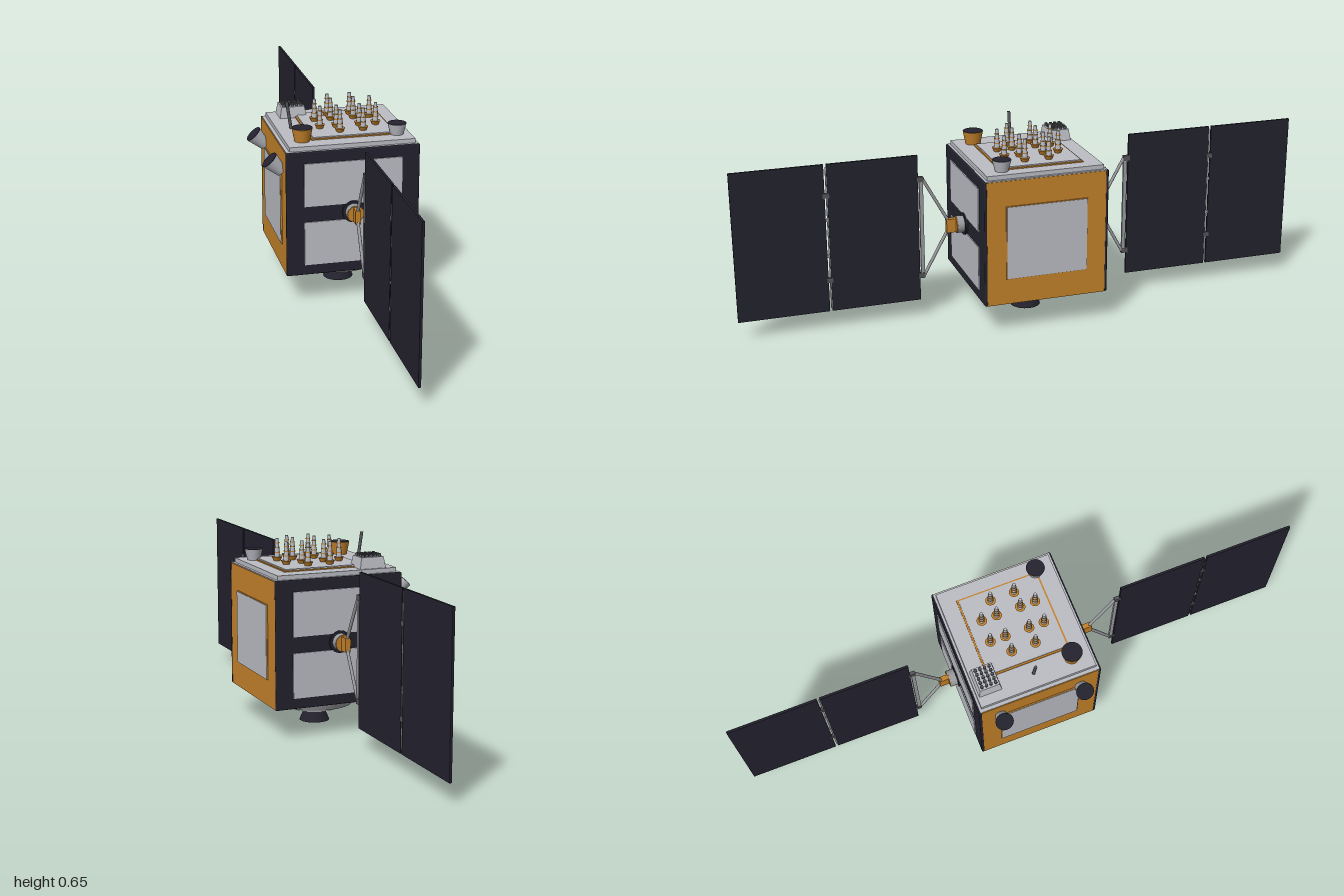
import * as THREE from 'three';
import { RoundedBoxGeometry } from 'three/addons/geometries/RoundedBoxGeometry.js';

const mat = (name, color, side = THREE.FrontSide) => {
  const m = new THREE.MeshStandardMaterial({ color, side });
  m.name = name;
  return m;
};

export function createModel() {
  const gold = mat('gold foil', 0xc4822a);
  const navy = mat('dark navy', 0x23222e, THREE.DoubleSide);
  const light = mat('light grey', 0xbbbdc4, THREE.DoubleSide);
  const grey = mat('mid grey', 0x9a9b9f, THREE.DoubleSide);
  const dark = mat('charcoal', 0x55565b);

  const model = new THREE.Group();
  model.name = 'satellite';
  const CX = 0.028;

  const add = (parent, name, geo, material, x = 0, y = 0, z = 0) => {
    const m = new THREE.Mesh(geo, material);
    m.name = name;
    m.position.set(x, y, z);
    parent.add(m);
    return m;
  };
  const group = (parent, name, x = 0, y = 0, z = 0) => {
    const g = new THREE.Group();
    g.name = name;
    g.position.set(x, y, z);
    parent.add(g);
    return g;
  };
  // Box given by its limits on each axis
  const box = (parent, name, material, x0, x1, y0, y1, z0, z1) =>
    add(parent, name, new THREE.BoxGeometry(x1 - x0, y1 - y0, z1 - z0), material,
      (x0 + x1) / 2, (y0 + y1) / 2, (z0 + z1) / 2);
  // Upright cone or cylinder between two heights
  const cone = (parent, name, material, rBottom, rTop, y0, y1, x = 0, z = 0, open = false, n = 32) =>
    add(parent, name, new THREE.CylinderGeometry(rTop, rBottom, y1 - y0, n, 1, open), material,
      x, (y0 + y1) / 2, z);
  // Round bar between two points
  const bar = (parent, name, material, a, b, r) => {
    const p = new THREE.Vector3(...a), q = new THREE.Vector3(...b);
    const m = add(parent, name, new THREE.CylinderGeometry(r, r, p.distanceTo(q), 10), material);
    m.position.copy(p).add(q).multiplyScalar(0.5);
    m.quaternion.setFromUnitVectors(new THREE.Vector3(0, 1, 0), q.sub(p).normalize());
    return m;
  };
  const lathe = (parent, name, material, pts) =>
    add(parent, name, new THREE.LatheGeometry(pts.map(p => new THREE.Vector2(...p)), 48), material, CX);

  // Main body, gold on the sides and below
  box(model, 'body', gold, -0.199, 0.255, 0.106, 0.537, -0.212, 0.212);
  box(model, 'bodyTop', light, -0.197, 0.253, 0.536, 0.54, -0.21, 0.21);
  box(model, 'topPlate', light, -0.185, 0.243, 0.54, 0.555, -0.203, 0.203);

  // Radiator panels on both gold sides, with a gold backing
  for (const s of [-1, 1]) {
    const x = CX + s * 0.229;
    box(model, 'sidePanelFrame', gold, x - 0.002, x + 0.002, 0.195, 0.45, -0.142, 0.142);
    const px = CX + s * 0.2315;
    box(model, 'sidePanel', light, px - 0.001, px + 0.001, 0.197, 0.448, -0.14, 0.14);
  }

  // Engine section under the body
  lathe(model, 'adapterRing', grey, [[0.15, 0.106], [0.15, 0.104], [0.133, 0.065]]);
  lathe(model, 'adapterRim', light, [[0.133, 0.065], [0.116, 0.065]]);
  lathe(model, 'adapterInside', grey, [[0.116, 0.065], [0.1, 0.09], [0.03, 0.09]]);
  cone(model, 'engineSkirt', light, 0.081, 0.06, 0.046, 0.068, CX, 0, true);
  cone(model, 'engineSkirtFloor', gold, 0.074, 0.07, 0.05, 0.054, CX);
  cone(model, 'engineNozzle', navy, 0.052, 0.03, 0, 0.052, CX, 0, true);
  cone(model, 'nozzleThroat', navy, 0.032, 0.03, 0.045, 0.05, CX);

  // Front and back share the same face plate, hub and solar wing
  for (const s of [1, -1]) {
    const side = group(model, s > 0 ? 'frontSide' : 'backSide', CX);
    side.scale.z = 1;

    const plate = add(side, 'facePlate', new RoundedBoxGeometry(0.456, 0.434, 0.01, 2, 0.004), navy, 0, 0.3225, s * 0.211);
    plate.castShadow = false;
    for (const [y0, y1] of [[0.142, 0.295], [0.35, 0.5]]) {
      box(side, 'faceRadiator', light, -0.167, 0.167, y0, y1, s * 0.217 - 0.0025, s * 0.217 + 0.0025);
    }

    // Wing drive hub
    const disc = (name, material, r, z0, z1) => {
      const m = add(side, name, new THREE.CylinderGeometry(r, r, z1 - z0, 32), material, 0, 0.322, s * (z0 + z1) / 2);
      m.rotation.x = Math.PI / 2;
    };
    disc('hubCollar', navy, 0.038, 0.212, 0.224);
    disc('hubDrum', grey, 0.029, 0.22, 0.248);
    disc('hubCap', gold, 0.028, 0.246, 0.251);
    const span = (name, material, hx, y0, y1, z0, z1) =>
      box(side, name, material, -hx, hx, y0, y1, Math.min(s * z0, s * z1), Math.max(s * z0, s * z1));
    span('hubBracket', gold, 0.009, 0.298, 0.346, 0.25, 0.283);

    // Yoke carrying the wing
    for (const v of [-1, 1]) {
      const y = 0.325 + v * 0.172;
      bar(side, 'yokeArm', grey, [0, 0.325 + v * 0.014, s * 0.275], [0, y, s * 0.362], 0.0055);
      span('yokeHinge', dark, 0.006, y - 0.009, y + 0.009, 0.36, 0.384);
      span('panelHinge', dark, 0.006, 0.325 + v * 0.149 - 0.008, 0.325 + v * 0.149 + 0.008, 0.678, 0.7);
      span('panelLink', grey, 0.003, 0.325 + v * 0.063 - 0.005, 0.325 + v * 0.063 + 0.005, 0.682, 0.696);
    }
    span('yokeBar', grey, 0.004, 0.153, 0.497, 0.361, 0.374);

    // Two solar panels
    span('innerSolarPanel', navy, 0.004, 0.065, 0.582, 0.378, 0.684);
    span('outerSolarPanel', navy, 0.004, 0.065, 0.582, 0.693, 1.0);
    span('panelSeam', grey, 0.002, 0.075, 0.572, 0.684, 0.688);
  }

  // Antenna deck with gold border
  box(model, 'deckBorder', gold, -0.097, 0.196, 0.555, 0.559, -0.147, 0.144);
  box(model, 'antennaDeck', light, -0.091, 0.19, 0.556, 0.563, -0.141, 0.138);

  // Twelve helix antennas in a cross-shaped array
  for (const [dx, dz] of [[0.04, 0.095], [0.04, 0.042], [0.097, 0.042]]) {
    for (const sx of [-1, 1]) for (const sz of [-1, 1]) {
      const a = group(model, 'antenna', 0.051 + sx * dx, 0.563, sz * dz);
      cone(a, 'antennaCup', gold, 0.011, 0.0175, 0, 0.013, 0, 0, false, 20);
      const radii = [0.0095, 0.0085, 0.0075, 0.0062];
      radii.forEach((r, i) => {
        const y = 0.013 + i * 0.016;
        cone(a, 'antennaStem', light, r, r - 0.0008, y, y + 0.016, 0, 0, false, 14);
        if (i) cone(a, 'antennaRing', gold, r + 0.0018, r + 0.0018, y - 0.0015, y + 0.0015, 0, 0, false, 14);
      });
    }
  }

  // Horn cups with dark mouths
  const horn = (name, material, x, z, r0, r1, y1) => {
    cone(model, name, material, r0, r1, 0.555, y1, x, z);
    cone(model, name + 'Mouth', navy, r1 - 0.001, r1 - 0.001, y1, y1 + 0.001, x, z);
  };
  horn('goldHorn', gold, -0.128, 0.138, 0.026, 0.035, 0.6);
  horn('greyHorn', light, 0.197, 0.138, 0.022, 0.032, 0.593);

  // Tapered instrument box with rows of small studs
  const taper = new THREE.BoxGeometry(0.094, 0.038, 0.08);
  const p = taper.attributes.position;
  for (let i = 0; i < p.count; i++) {
    if (p.getY(i) > 0) p.setXYZ(i, p.getX(i) * 0.86, p.getY(i), p.getZ(i) * 0.86);
  }
  taper.computeVertexNormals();
  add(model, 'instrumentBox', taper, light, -0.103, 0.574, -0.156);
  for (let i = 0; i < 5; i++) for (let j = 0; j < 4; j++) {
    cone(model, 'instrumentStud', dark, 0.0055, 0.0055, 0.592, 0.602,
      -0.133 + i * 0.015, -0.18 + j * 0.016, false, 10);
  }

  // Leaning whip antenna
  bar(model, 'whipAntenna', dark, [-0.136, 0.553, 0], [-0.151, 0.651, 0], 0.0055);

  // Two star sensors on the right side
  for (const z of [-0.143, 0.143]) {
    const sensor = group(model, 'starSensor', -0.2, 0.455, z);
    sensor.rotation.z = 0.75;
    cone(sensor, 'sensorBarrel', light, 0.018, 0.031, 0, 0.058);
    cone(sensor, 'sensorLens', navy, 0.0305, 0.0305, 0.058, 0.06);
  }

  return model;
}
